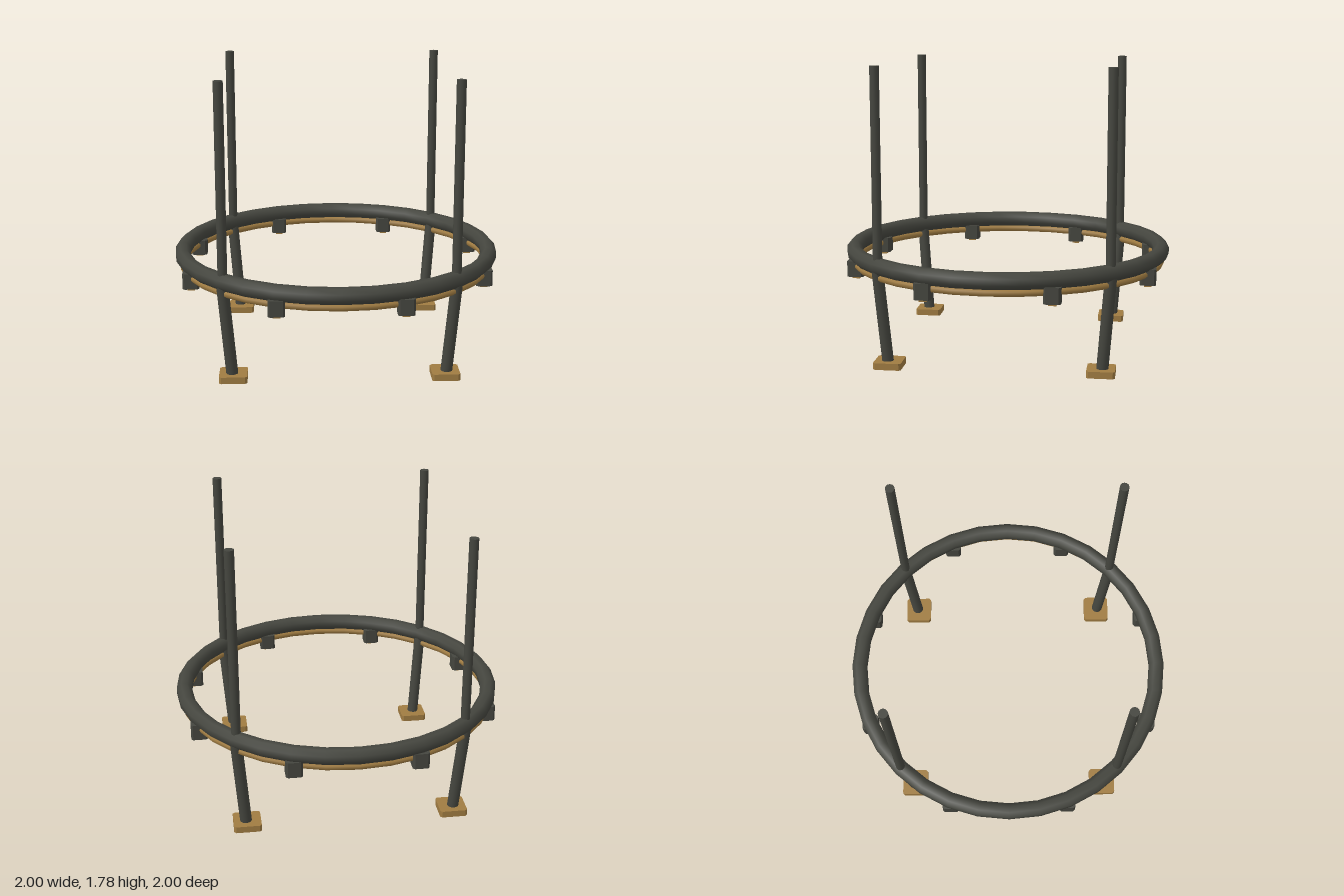
import * as THREE from 'three';

const dark = new THREE.MeshStandardMaterial({ color: 0x45463f });
const brass = new THREE.MeshStandardMaterial({ color: 0xa07c42 });

function add(group, name, geometry, material, x = 0, y = 0, z = 0) {
  const mesh = new THREE.Mesh(geometry, material);
  mesh.name = name;
  mesh.position.set(x, y, z);
  group.add(mesh);
  return mesh;
}

// Closed ring with a polygonal cross-section, seam hidden underneath
function ringGeometry(radius, tube, sides) {
  const points = [];
  for (let i = 0; i <= sides; i++) {
    const a = -Math.PI / 2 - Math.PI / sides + (i / sides) * Math.PI * 2;
    points.push(new THREE.Vector2(radius + tube * Math.cos(a), tube * Math.sin(a)));
  }
  return new THREE.LatheGeometry(points, 32);
}

// Square block with clipped vertical corners, base at y = 0
function blockGeometry(width, height, clip) {
  const h = width / 2, c = h - clip;
  const shape = new THREE.Shape([
    [c, -h], [h, -c], [h, c], [c, h], [-c, h], [-h, c], [-h, -c], [-c, -h],
  ].map(([x, y]) => new THREE.Vector2(x, y)));
  const geometry = new THREE.ExtrudeGeometry(shape, { depth: height, bevelEnabled: false });
  return geometry.rotateX(-Math.PI / 2);
}

// Straight round rod between two points
function addRod(group, name, from, to, radius, material) {
  const dir = to.clone().sub(from);
  const mesh = add(group, name, new THREE.CylinderGeometry(radius, radius, dir.length(), 12), material);
  mesh.position.copy(from).add(to).multiplyScalar(0.5);
  mesh.quaternion.setFromUnitVectors(new THREE.Vector3(0, 1, 0), dir.normalize());
}

export function createModel() {
  const model = new THREE.Group();
  model.name = 'ringStand';

  // Main ring and the slim trim ring below it
  add(model, 'mainRing', ringGeometry(0.952, 0.05, 8), dark, 0, 0.62, 0);
  add(model, 'trimRing', ringGeometry(0.95, 0.022, 8), brass, 0, 0.553, 0);

  // Four corners: upright post, inward-leaning leg and foot plate
  const footGeometry = blockGeometry(0.165, 0.04, 0.012);
  for (const sx of [-1, 1]) {
    for (const sz of [-1, 1]) {
      const at = (r, y) => new THREE.Vector3(sx * r, y, sz * r);
      const corner = new THREE.Group();
      corner.name = 'cornerSupport';
      addRod(corner, 'post', at(0.672, 0.6), at(0.672, 1.775), 0.028, dark);
      addRod(corner, 'leg', at(0.627, 0.003), at(0.676, 0.62), 0.035, dark);
      add(corner, 'foot', footGeometry, brass, sx * 0.623, 0.007, sz * 0.623);
      model.add(corner);
    }
  }

  // Eight clamps with small studs, spaced between the legs
  const clampGeometry = blockGeometry(0.098, 0.095, 0.012);
  const studGeometry = new THREE.BoxGeometry(0.045, 0.04, 0.045);
  for (let i = 0; i < 8; i++) {
    const a = (i + 0.5) * Math.PI / 4;
    const x = 0.95 * Math.cos(a), z = 0.95 * Math.sin(a);
    add(model, 'clamp', clampGeometry, dark, x, 0.49, z);
    add(model, 'stud', studGeometry, brass, x, 0.496, z);
  }
  return model;
}
